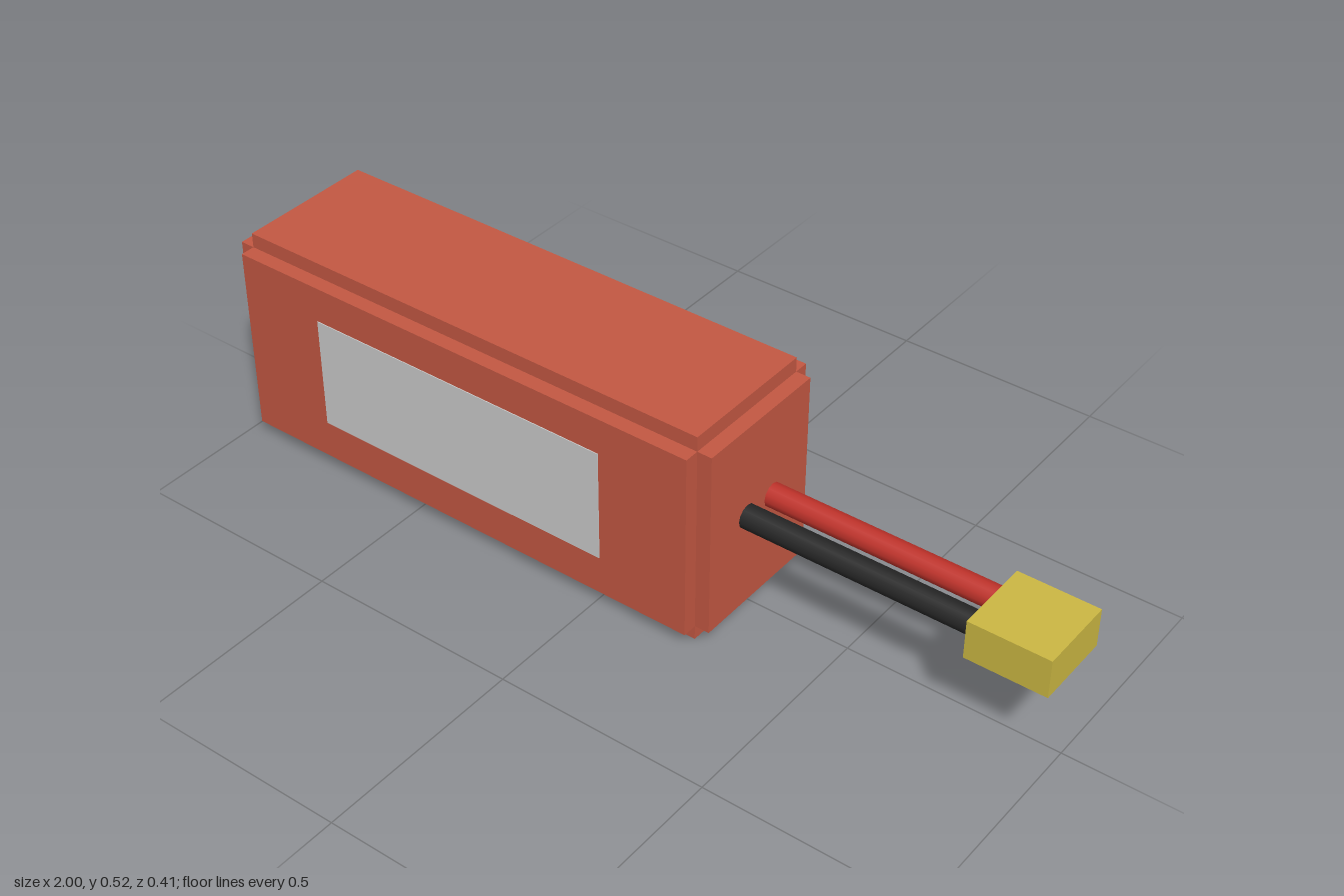
import * as THREE from 'three';

const paint = (name, color) => {
  const m = new THREE.MeshStandardMaterial({ color });
  m.name = name;
  return m;
};

export function createModel() {
  const group = new THREE.Group();
  const wrapRed = paint('wrapRed', 0xc45843);
  const labelGrey = paint('labelGrey', 0xcccccc);
  const wireRed = paint('wireRed', 0xc0322a);
  const wireBlack = paint('wireBlack', 0x262626);
  const connectorYellow = paint('connectorYellow', 0xccb843);

  const midX = -0.365, midY = 0.26;

  const add = (name, geometry, material, x, y, z) => {
    const mesh = new THREE.Mesh(geometry, material);
    mesh.name = name;
    mesh.position.set(x, y, z);
    group.add(mesh);
    return mesh;
  };
  const box = (name, size, material, x, y, z) =>
    add(name, new THREE.BoxGeometry(...size), material, x, y, z);

  // Pack: three crossing blocks leave stepped edges all round
  box('packLong', [1.27, 0.45, 0.335], wrapRed, midX, midY, 0);
  box('packTall', [1.2, 0.52, 0.335], wrapRed, midX, midY, 0);
  box('packWide', [1.2, 0.45, 0.405], wrapRed, midX, midY, 0);

  // Blank labels on both broad sides
  for (const side of [1, -1]) {
    box(side > 0 ? 'frontLabel' : 'backLabel', [0.765, 0.27, 0.004], labelGrey,
      midX - 0.002, 0.264, side * 0.2025);
  }

  // Pair of leads running to the connector
  for (const [name, material, z] of [['redWire', wireRed, -0.046], ['blackWire', wireBlack, 0.042]]) {
    const wire = new THREE.CylinderGeometry(0.028, 0.028, 0.6, 12);
    wire.rotateZ(Math.PI / 2);
    add(name, wire, material, 0.54, 0.262, z);
  }

  // Connector block
  box('connector', [0.186, 0.092, 0.185], connectorYellow, 0.907, 0.261, 0);

  return group;
}
